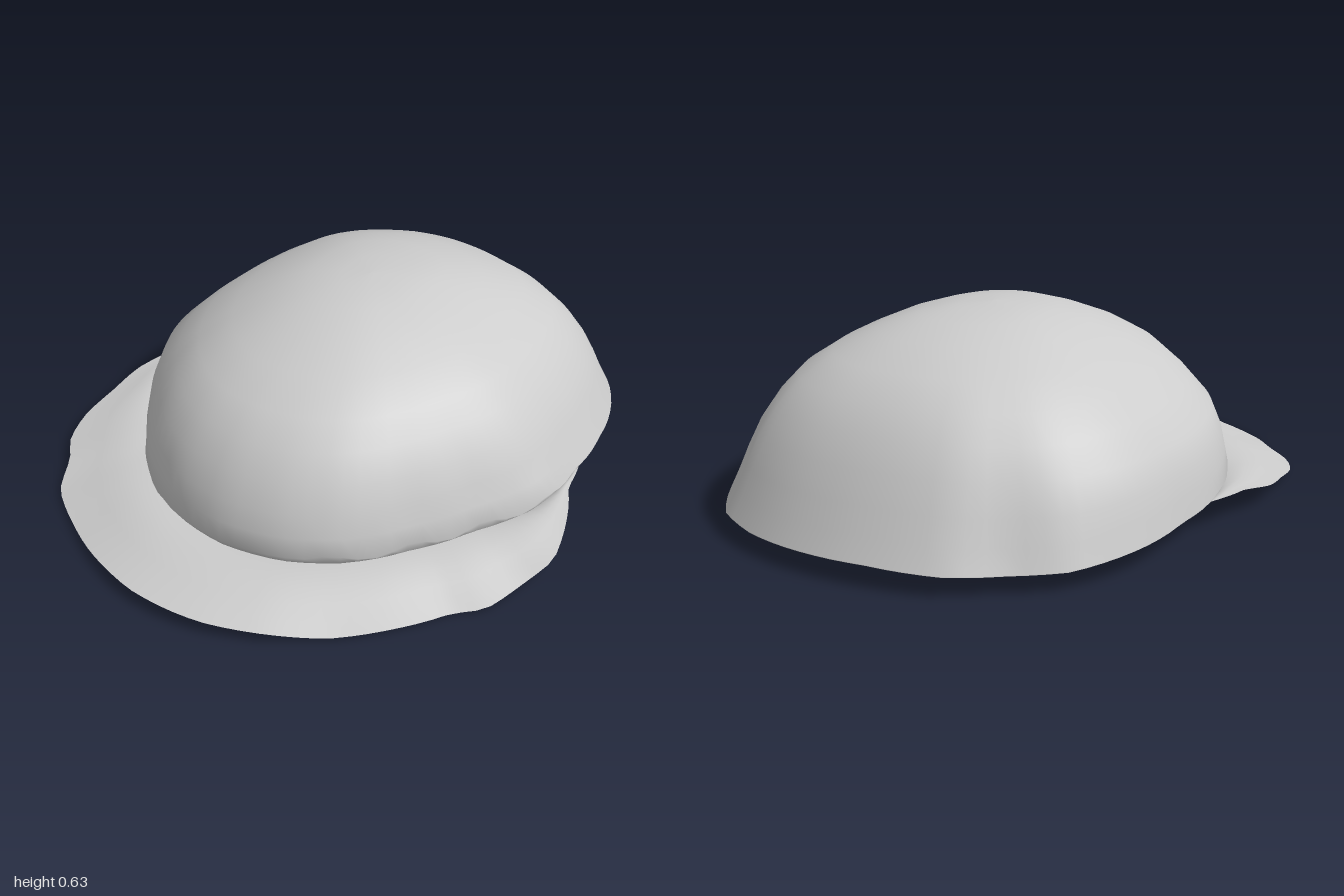
import * as THREE from 'three';

const CENTRE_Z = -0.13;
const TOP_Y = 0.634;

// Turns outline points [x, z, y] into a lookup by angle (0 = front, positive towards +x)
function outline(points) {
  const t = points
    .map(([x, z, y]) => ({ a: Math.atan2(x, z - CENTRE_Z), r: Math.hypot(x, z - CENTRE_Z), y }))
    .sort((p, q) => p.a - q.a);
  const first = t[0], last = t[t.length - 1];
  t.unshift({ ...last, a: last.a - Math.PI * 2 });
  t.push({ ...first, a: first.a + Math.PI * 2 });
  return (angle) => {
    const a = Math.atan2(Math.sin(angle), Math.cos(angle));
    let i = 1;
    while (i < t.length - 1 && t[i].a < a) i++;
    const p = t[i - 1], q = t[i], k = (a - p.a) / (q.a - p.a || 1);
    return { r: p.r + (q.r - p.r) * k, y: p.y + (q.y - p.y) * k };
  };
}

// Lower edge of the crown
const crownEdge = outline([
  [0, 0.725, 0.075], [0.2, 0.69, 0.075], [0.36, 0.6, 0.075], [0.5, 0.43, 0.07], [0.62, 0.25, 0.075],
  [0.735, 0.05, 0.085], [0.745, -0.2, 0.098], [0.73, -0.42, 0.09], [0.68, -0.63, 0.08], [0.59, -0.8, 0.065],
  [0.44, -0.9, 0.06], [0.2, -0.98, 0.065], [0.01, -1, 0.07],
  [-0.23, -0.98, 0.065], [-0.38, -0.89, 0.06], [-0.53, -0.81, 0.065], [-0.66, -0.62, 0.08],
  [-0.72, -0.4, 0.09], [-0.755, -0.2, 0.098], [-0.74, 0.02, 0.085], [-0.68, 0.2, 0.075],
  [-0.55, 0.4, 0.07], [-0.4, 0.57, 0.075], [-0.2, 0.69, 0.075],
]);

// Outer edge of the brim
const BRIM_START = -1.69, BRIM_END = 1.76;
const brimEdge = outline([
  [-0.76, -0.22, 0.1], [-0.82, -0.06, 0.093], [-0.87, 0.07, 0.07], [-0.87, 0.21, 0.05], [-0.87, 0.36, 0.03],
  [-0.83, 0.48, 0.02], [-0.74, 0.58, 0.025], [-0.67, 0.71, 0.008], [-0.5, 0.83, 0.015],
  [-0.25, 0.955, 0.035], [-0.13, 0.99, 0.04], [0, 1, 0.042], [0.13, 0.99, 0.042], [0.3, 0.93, 0.036],
  [0.46, 0.82, 0.012], [0.6, 0.68, 0.012], [0.7, 0.52, 0], [0.78, 0.46, 0.01], [0.82, 0.32, 0.016],
  [0.87, 0.2, 0.055], [0.83, 0.03, 0.088], [0.77, -0.1, 0.098], [0.735, -0.27, 0.1],
]);

// 1 along the front, fading to 0 behind the ends of the brim
const frontness = (a) => 1 - THREE.MathUtils.smoothstep(Math.abs(a), 1.2, 1.75);

// The crown's edge is tucked under along the front
const tuckedRadius = (a) => crownEdge(a).r * (1 - 0.025 * frontness(a));

const polar = (a, r, y) => [Math.sin(a) * r, y, CENTRE_Z + Math.cos(a) * r];

// Smooth surface from rows of points running inside to outside
function surface(columns, rows, closed, pointAt) {
  const pos = [], index = [];
  const count = closed ? columns : columns + 1;
  for (let i = 0; i < count; i++)
    for (let j = 0; j < rows; j++) pos.push(...pointAt(i / columns, j));
  const id = (i, j) => (i % count) * rows + j;
  for (let i = 0; i < columns; i++)
    for (let j = 0; j < rows - 1; j++) {
      const a = id(i, j), b = id(i, j + 1), c = id(i + 1, j + 1), d = id(i + 1, j);
      index.push(a, b, c, a, c, d);
    }
  const g = new THREE.BufferGeometry();
  g.setAttribute('position', new THREE.Float32BufferAttribute(pos, 3));
  g.setIndex(index);
  g.computeVertexNormals();
  return g;
}

// Crown profile: [share of height, then share of radius at front, right (-x), back, left (+x)]
const PROFILE = [
  [1, 0, 0, 0, 0],
  [0.994, 0.13, 0.12, 0.15, 0.12],
  [0.97, 0.27, 0.265, 0.31, 0.25],
  [0.9, 0.42, 0.41, 0.46, 0.4],
  [0.8, 0.59, 0.56, 0.62, 0.56],
  [0.68, 0.74, 0.7, 0.72, 0.7],
  [0.55, 0.84, 0.81, 0.8, 0.79],
  [0.4, 0.91, 0.92, 0.86, 0.87],
  [0.25, 0.96, 0.965, 0.915, 0.92],
  [0.12, 0.985, 0.985, 0.955, 0.96],
  [0, 1, 1, 1, 1],
];

// Blends the four profiles around the crown, a little fuller on the diagonals
function profileShare([, front, right, back, left], a) {
  const c = Math.cos(a), s = Math.sin(a);
  const share = c * c * (c > 0 ? front : back) + s * s * (s > 0 ? left : right);
  return share * (1 + 0.12 * share * (1 - share) * Math.sin(2 * a) ** 2);
}

export function createModel() {
  const group = new THREE.Group();
  group.name = 'cap';
  const grey = new THREE.MeshStandardMaterial({ color: 0xcccccc, side: THREE.DoubleSide });
  grey.name = 'light grey';

  // Hollow crown, rounder towards the top, with a rippled lip along the front
  const crownGeometry = surface(96, PROFILE.length + 1, true, (u, j) => {
    const a = (u * 2 - 1) * Math.PI;
    const { r, y } = crownEdge(a);
    if (j === PROFILE.length) return polar(a, tuckedRadius(a), y - 0.002);
    const even = [-0.24, -0.12, 0, 0.12, 0.24].reduce((sum, d) => sum + crownEdge(a + d).r / 5, 0);
    const share = profileShare(PROFILE[j], a);
    const lip = y + 0.03 * frontness(a);
    const ripple = j === PROFILE.length - 1 && Math.abs(a) > 0.35 ? 0.012 * Math.sin(a * 19) * frontness(a) : 0;
    return polar(a, share * THREE.MathUtils.lerp(even, r, share ** 3), lip + (TOP_Y - lip) * PROFILE[j][0] + ripple);
  });
  const crown = new THREE.Mesh(crownGeometry, grey);
  crown.name = 'crown';

  // Brim: rises a little beside the crown, then slopes down to its edge
  const brimRows = [[0, 0], [0.18, 0.012], [0.4, 0.016], [0.6, 0.01], [0.8, 0.004], [1, 0]];
  const brimGeometry = surface(72, brimRows.length, false, (u, j) => {
    const a = BRIM_START + (BRIM_END - BRIM_START) * u;
    const inner = { r: tuckedRadius(a), y: crownEdge(a).y }, outer = brimEdge(a);
    const [s, lift] = brimRows[j];
    return polar(a, inner.r + (outer.r - inner.r) * s, inner.y + (outer.y - inner.y) * s + lift * frontness(a));
  });
  const brim = new THREE.Mesh(brimGeometry, grey);
  brim.name = 'brim';

  group.add(crown, brim);
  return group;
}
